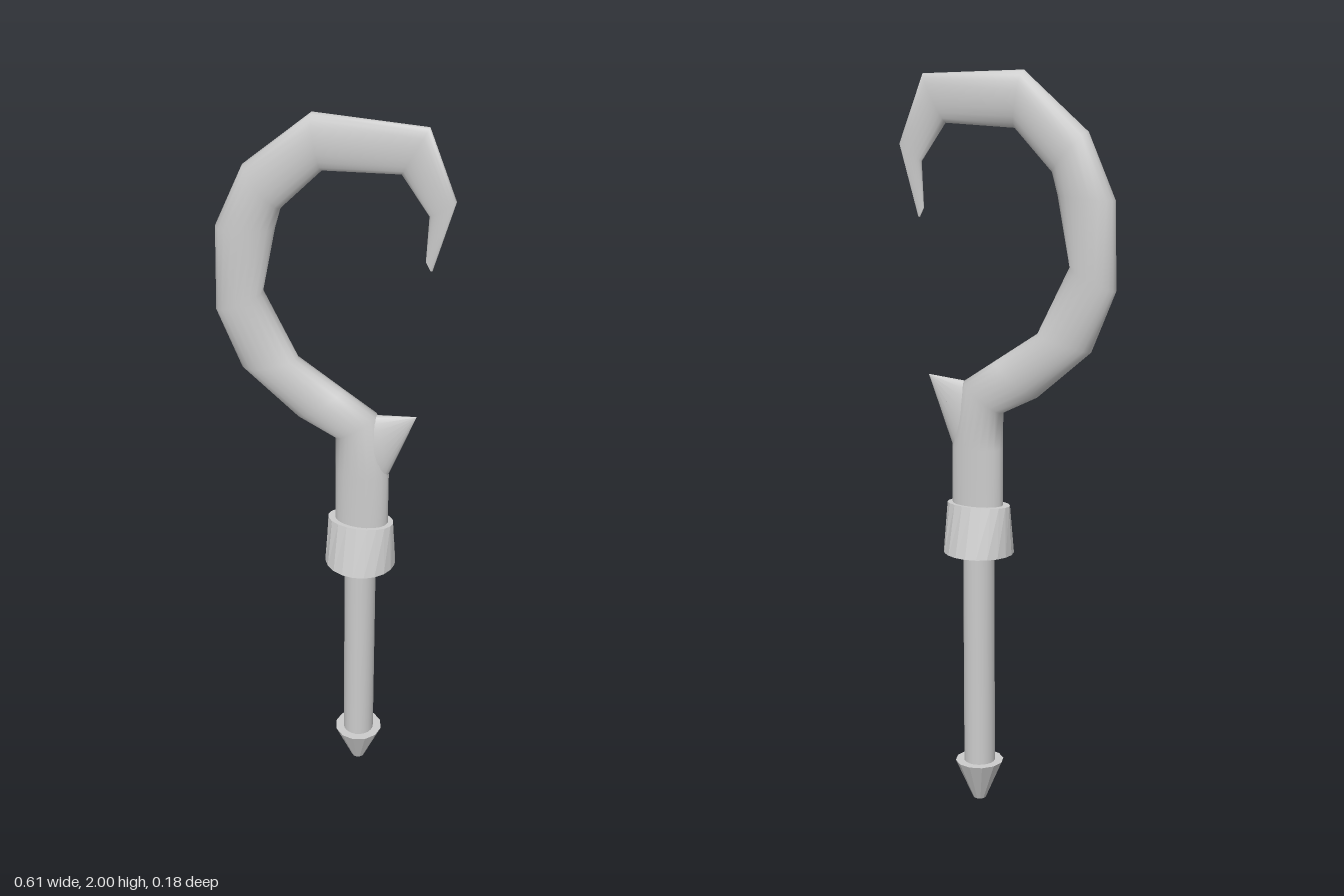
import * as THREE from 'three';

const SIDES = 20;
const AXIS_X = 0.08;

// Lofts elliptical rings; each section is [outerX, outerY, innerX, innerY, halfDepth]
function loft(sections) {
  const pos = [], index = [];
  for (const [ox, oy, ix, iy, d] of sections) {
    for (let s = 0; s < SIDES; s++) {
      const a = (s / SIDES) * Math.PI * 2, c = Math.cos(a) / 2;
      pos.push((ox + ix) / 2 + (ix - ox) * c, (oy + iy) / 2 + (iy - oy) * c, d * Math.sin(a));
    }
  }
  for (let r = 0; r < sections.length - 1; r++) {
    for (let s = 0; s < SIDES; s++) {
      const n = (s + 1) % SIDES, p = r * SIDES, q = p + SIDES;
      index.push(p + s, q + s, p + n, q + s, q + n, p + n);
    }
  }
  const g = new THREE.BufferGeometry();
  g.setAttribute('position', new THREE.Float32BufferAttribute(pos, 3));
  g.setIndex(index);
  g.computeVertexNormals();
  return g;
}

export function createModel() {
  const group = new THREE.Group();
  const smooth = new THREE.MeshStandardMaterial({ color: 0xcccccc, side: THREE.DoubleSide });
  const flat = new THREE.MeshStandardMaterial({ color: 0xcccccc, flatShading: true });
  const add = (name, geometry, material) => {
    const mesh = new THREE.Mesh(geometry, material);
    mesh.name = name;
    group.add(mesh);
    return mesh;
  };

  // Curved hook, thinning towards its point
  add('hook', loft([
    [0.01, 0.76, 0.155, 0.76, 0.042],
    [0.01, 1.01, 0.155, 1.01, 0.042],
    [0.01, 1.11, 0.12, 1.19, 0.042],
    [-0.09, 1.16, 0.03, 1.25, 0.042],
    [-0.24, 1.29, -0.09, 1.33, 0.042],
    [-0.305, 1.45, -0.18, 1.51, 0.042],
    [-0.30, 1.68, -0.145, 1.69, 0.041],
    [-0.225, 1.85, -0.13, 1.745, 0.038],
    [-0.05, 2.0, -0.025, 1.855, 0.031],
    [0.235, 1.99, 0.17, 1.865, 0.017],
    [0.305, 1.81, 0.24, 1.765, 0.01],
    [0.252, 1.62, 0.235, 1.645, 0.003],
    [0.247, 1.62, 0.247, 1.62, 0],
  ]), smooth);

  // Pointed spur at the throat of the hook
  add('spur', loft([
    [0.06, 1.185, 0.12, 0.93, 0.032],
    [0.12, 1.19, 0.157, 1.02, 0.026],
    [0.225, 1.2, 0.225, 1.2, 0.002],
  ]), smooth);

  // Collar: round at the bottom, squeezed to an oval at the top
  const collar = new THREE.CylinderGeometry(0.09, 0.097, 0.135, SIDES);
  const p = collar.attributes.position;
  for (let i = 0; i < p.count; i++) {
    p.setZ(i, p.getZ(i) * (p.getY(i) > 0 ? 0.57 : 0.93));
  }
  add('collar', collar, flat).position.set(AXIS_X, 0.7875, 0);

  // Straight shaft and its tapered end
  const shaft = new THREE.CylinderGeometry(0.043, 0.043, 0.66, SIDES);
  add('shaft', shaft, smooth).position.set(AXIS_X, 0.42, 0);
  const end = new THREE.CylinderGeometry(0.067, 0.018, 0.113, 12);
  add('endPoint', end, flat).position.set(AXIS_X, 0.0565, 0);

  return group;
}
